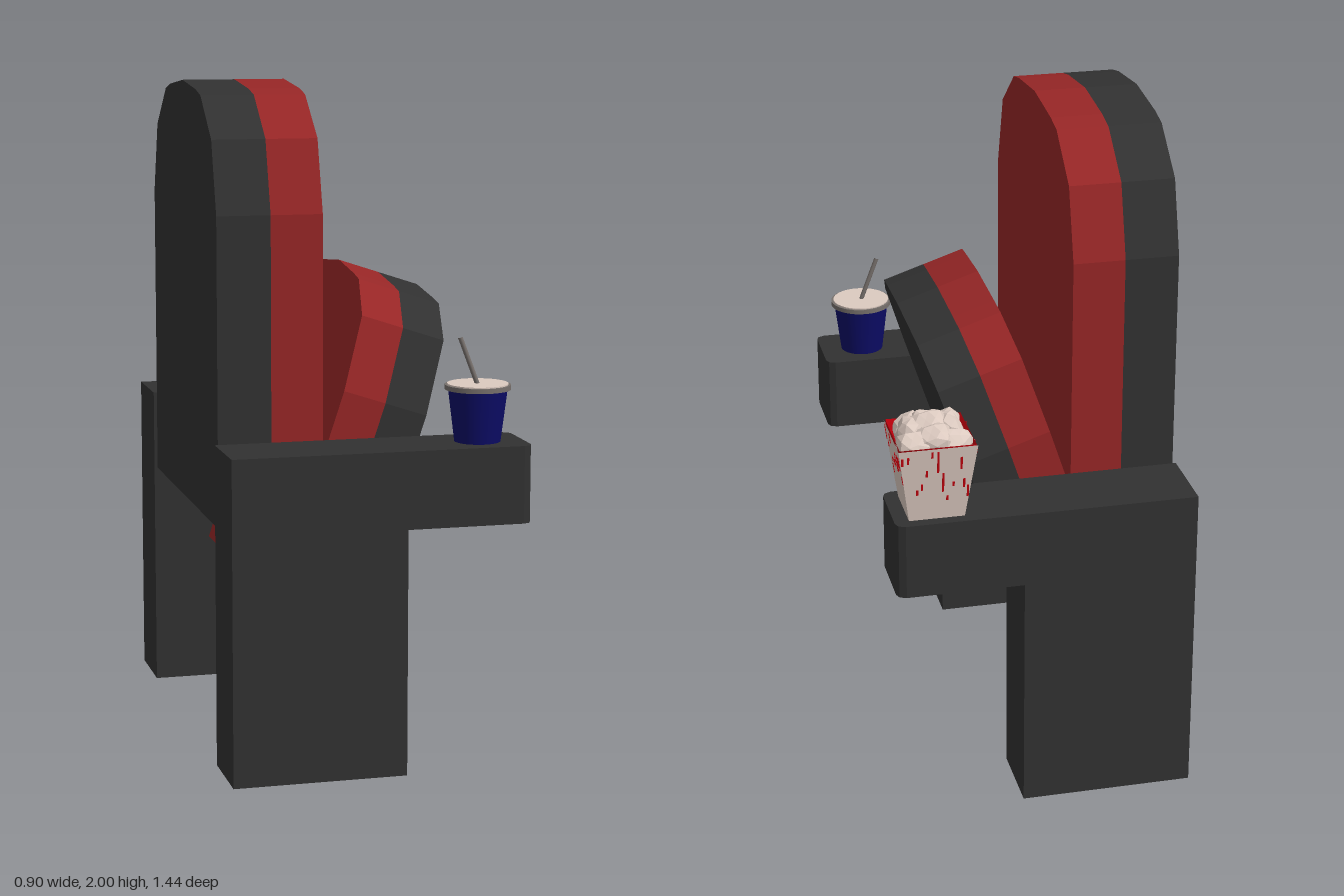
import * as THREE from 'three';

const mat = (name, color, extra = {}) => {
  const m = new THREE.MeshStandardMaterial({ color, ...extra });
  m.name = name;
  return m;
};

export function createModel() {
  const charcoal = mat('charcoal', 0x313131);
  const red = mat('upholsteryRed', 0x962626);
  const cream = mat('cream', 0xdccac0, { flatShading: true });
  const brightRed = mat('brightRed', 0xc4000c, { side: THREE.DoubleSide });
  const navy = mat('navy', 0x0c0c66);
  const grey = mat('grey', 0x77706c);

  const model = new THREE.Group();
  model.name = 'cinemaSeat';

  const add = (parent, name, geo, material, x = 0, y = 0, z = 0) => {
    const mesh = new THREE.Mesh(geo, material);
    mesh.name = name;
    mesh.position.set(x, y, z);
    parent.add(mesh);
    return mesh;
  };
  const group = (name, x = 0, y = 0, z = 0) => {
    const g = new THREE.Group();
    g.name = name;
    g.position.set(x, y, z);
    model.add(g);
    return g;
  };

  // Small seeded number generator
  let seed = 7;
  const rand = () => (seed = (seed * 16807) % 2147483647) / 2147483647;

  // Slab with an arched top, thickness along +x, base at y = 0
  const archSlab = (height, thickness, drops) => {
    const zs = [0.483, 0.42, 0.27, 0.2, 0];
    const side = zs.map((z, i) => [z, height - drops[i]]);
    const pts = [[-0.483, 0], [0.483, 0], ...side,
      ...side.slice(0, -1).reverse().map(([z, y]) => [-z, y])];
    const shape = new THREE.Shape(pts.map(p => new THREE.Vector2(...p)));
    return new THREE.ExtrudeGeometry(shape, { depth: thickness, bevelEnabled: false })
      .rotateY(Math.PI / 2);
  };

  // Backrest: dark shell behind a red cushion
  const backDrops = [0.37, 0.155, 0.035, 0.02, 0];
  const back = group('backrest', -0.44, 0.715, 0);
  add(back, 'backShell', archSlab(1.285, 0.16, backDrops), charcoal);
  add(back, 'backCushion', archSlab(1.285, 0.155, backDrops), red, 0.16);

  // Folded-up seat, leaning forward
  const seatDrops = [0.35, 0.125, 0.03, 0.02, 0];
  const seat = group('foldedSeat', -0.27, 0.475, 0);
  seat.rotation.z = -0.32;
  add(seat, 'seatCushion', archSlab(1.017, 0.1325, seatDrops), red);
  add(seat, 'seatShell', archSlab(1.017, 0.1325, seatDrops), charcoal, 0.1325);

  // Side supports with overhanging armrests
  const plan = new THREE.Shape([
    [-0.45, -0.1165], [0.42, -0.1165], [0.44, -0.108], [0.447, -0.09],
    [0.447, 0.09], [0.44, 0.108], [0.42, 0.1165], [-0.45, 0.1165],
  ].map(p => new THREE.Vector2(...p)));
  for (const s of [1, -1]) {
    const arm = group(s > 0 ? 'leftmostArm' : 'oppositeArm', 0, 0, s * 0.602);
    add(arm, 'post', new THREE.BoxGeometry(0.52, 0.735, 0.233), charcoal, -0.19, 0.3675);
    add(arm, 'armrest', new THREE.ExtrudeGeometry(plan, { depth: 0.23, bevelEnabled: false })
      .rotateX(-Math.PI / 2), charcoal, 0, 0.735);
  }

  // Drink cup with lid and slanted straw
  const cup = group('drinkCup', 0.312, 0.965, 0.602);
  add(cup, 'cupBody', new THREE.CylinderGeometry(0.088, 0.068, 0.16, 32), navy, 0, 0.08);
  add(cup, 'lidRim', new THREE.CylinderGeometry(0.097, 0.097, 0.014, 32), grey, 0, 0.161);
  add(cup, 'lidTop', new THREE.CylinderGeometry(0.09, 0.09, 0.005, 32), cream, 0, 0.169);
  const straw = new THREE.LineCurve3(new THREE.Vector3(0, 0.165, 0), new THREE.Vector3(-0.055, 0.308, 0));
  add(cup, 'straw', new THREE.TubeGeometry(straw, 1, 0.007, 10), grey);

  // Flared popcorn box with red lining
  const H = 0.235, top = 0.115, bottom = 0.082;
  const tub = group('popcornBox', 0.322, 0.965, -0.602);
  const walls = inset => new THREE.CylinderGeometry(
    (top - inset) * Math.SQRT2, (bottom - inset) * Math.SQRT2, H, 4, 1, true).rotateY(Math.PI / 4);
  add(tub, 'boxWalls', walls(0), cream, 0, H / 2);
  add(tub, 'boxLining', walls(0.004), brightRed, 0, H / 2 + 0.002);
  add(tub, 'boxBase', new THREE.BoxGeometry(bottom * 2, 0.004, bottom * 2), cream, 0, 0.003);

  // Broken red streaks on each wall
  for (let side = 0; side < 4; side++) {
    const wall = new THREE.Group();
    wall.name = 'boxStreaks';
    wall.rotation.y = side * Math.PI / 2;
    tub.add(wall);
    for (let i = 0; i < 13; i++) {
      const len = 0.015 + 0.07 * rand() * rand();
      const y = len / 2 + (H - len) * Math.sqrt(rand());
      const half = bottom + (top - bottom) * y / H;
      const streak = add(wall, 'streak', new THREE.BoxGeometry(0.006, len, 0.002), brightRed,
        (i / 6 - 1) * (half - 0.006), y, half + 0.0005);
      streak.rotation.x = Math.atan((top - bottom) / H);
    }
  }

  // Heap of lumpy popcorn
  for (let i = 0; i < 9; i++) {
    const gx = (i % 3) - 1, gz = Math.floor(i / 3) - 1;
    const geo = new THREE.IcosahedronGeometry(0.052, 1);
    const p = geo.attributes.position, phase = rand() * 6;
    for (let k = 0; k < p.count; k++) {
      const [x, y, z] = [p.getX(k), p.getY(k), p.getZ(k)];
      const f = 1 + 0.13 * Math.sin(x * 70 + phase) + 0.1 * Math.cos(z * 90 + y * 40 + phase);
      p.setXYZ(k, x * f, y * f * 0.85, z * f);
    }
    geo.computeVertexNormals();
    const lift = gx === 0 && gz === 0 ? 0.255 : gx === 0 || gz === 0 ? 0.24 : 0.225;
    add(tub, 'popcorn', geo, cream, gx * 0.056 + (rand() - 0.5) * 0.012, lift,
      gz * 0.056 + (rand() - 0.5) * 0.012);
  }

  return model;
}
